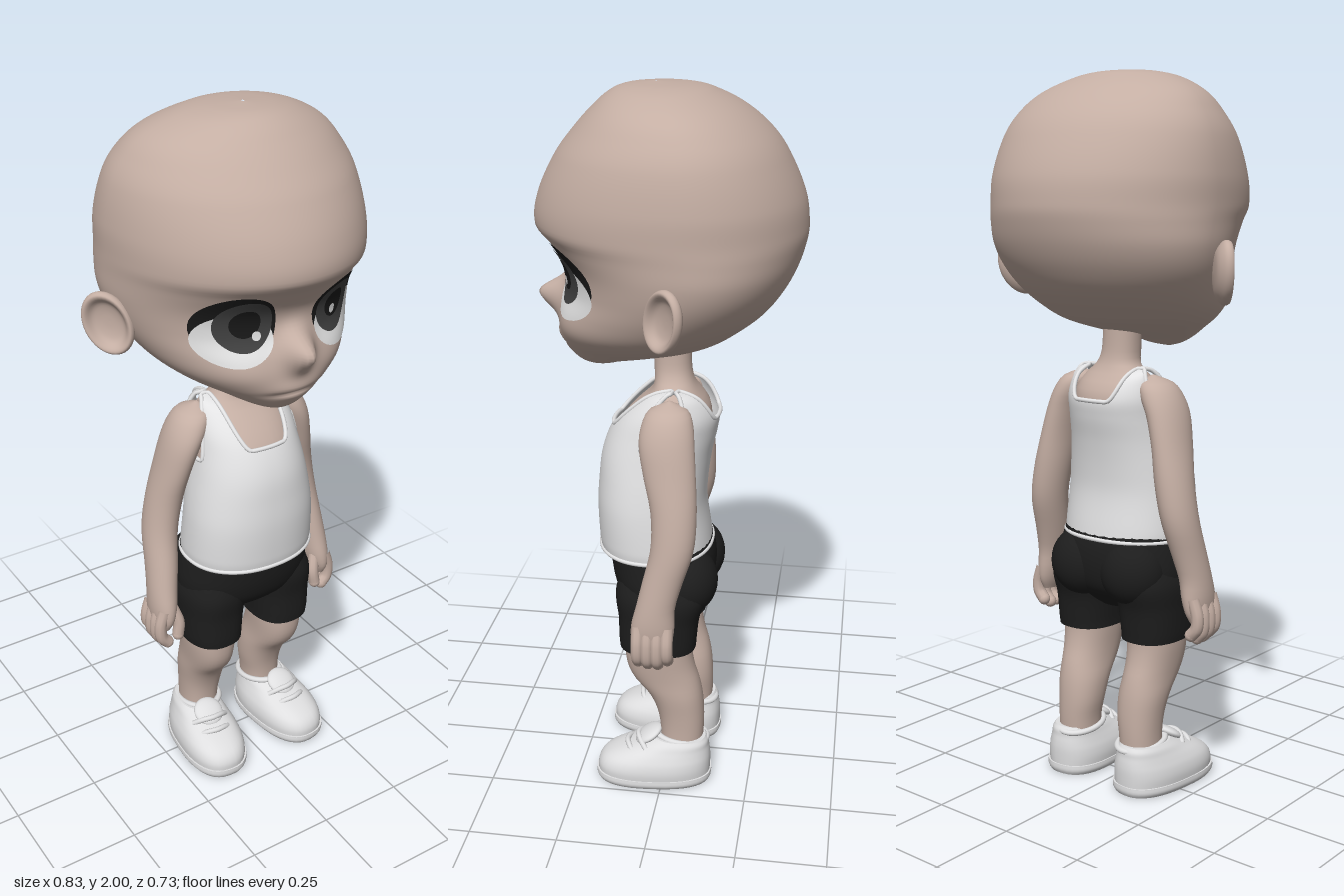
import * as THREE from 'three';

const mat = (name, color, side = THREE.FrontSide) => {
  const m = new THREE.MeshStandardMaterial({ color, side });
  m.name = name;
  return m;
};

// Smooth interpolation of key rows [y, cx, halfWidth, zFront, zBack] at height y
function sample(keys, y) {
  const last = keys.length - 1;
  let i = 0;
  while (i < last - 1 && y > keys[i + 1][0]) i++;
  const a = keys[i], b = keys[i + 1], h = b[0] - a[0];
  const t = THREE.MathUtils.clamp((y - a[0]) / h, 0, 1);
  const slope = (k, c) => {
    const p = keys[Math.max(k - 1, 0)], q = keys[Math.min(k + 1, last)];
    return (q[c] - p[c]) / (q[0] - p[0]);
  };
  return [1, 2, 3, 4].map((c) =>
    a[c] * (2 * t ** 3 - 3 * t * t + 1) + b[c] * (3 * t * t - 2 * t ** 3) +
    h * (slope(i, c) * (t ** 3 - 2 * t * t + t) + slope(i + 1, c) * (t ** 3 - t * t)));
}

// Point on a superelliptic ring; angle 0 faces +z, quarter turn faces +x
function ringPoint(keys, a, y, n = 2.2, back = 0.5) {
  const [cx, w, zf, zb] = sample(keys, y);
  const zc = zf * (1 - back) + zb * back;
  const s = Math.sin(a), c = Math.cos(a), e = 2 / n;
  return [cx + Math.max(w, 0) * Math.sign(s) * Math.abs(s) ** e, y,
    zc + (c > 0 ? zf - zc : zc - zb) * Math.sign(c) * Math.abs(c) ** e];
}

// Stack of rings from bottom to top, with optional flat caps, top edge rule and displacement
function loft(keys, { n = 2.2, back = 0.5, seg = 40, rows = 36, top = null, disp = null, caps = true } = {}) {
  const pos = [], idx = [], y0 = keys[0][0], y1 = keys[keys.length - 1][0];
  for (let j = 0; j <= rows; j++) {
    const t = (1 - Math.cos((Math.PI * j) / rows)) / 2;
    for (let i = 0; i < seg; i++) {
      const a = (i / seg) * Math.PI * 2;
      const p = ringPoint(keys, a, y0 + t * ((top ? top(a) : y1) - y0), n, back);
      if (disp && Math.cos(a) > 0) p[2] += disp(p[0], p[1]);
      pos.push(...p);
      if (j < rows) {
        const A = j * seg + i, B = j * seg + ((i + 1) % seg);
        idx.push(A, B, A + seg, B, B + seg, A + seg);
      }
    }
  }
  if (caps) for (const j of [0, rows]) {
    const base = pos.length / 3;
    let cx = 0, cz = 0;
    for (let i = 0; i < seg; i++) {
      const o = (j * seg + i) * 3;
      cx += pos[o] / seg; cz += pos[o + 2] / seg;
      pos.push(pos[o], pos[o + 1], pos[o + 2]);
    }
    pos.push(cx, j ? y1 : y0, cz);
    for (let i = 0; i < seg; i++) {
      const A = base + i, B = base + ((i + 1) % seg);
      j ? idx.push(A, B, base + seg) : idx.push(B, A, base + seg);
    }
  }
  return geometry(pos, idx);
}

function geometry(pos, idx) {
  const g = new THREE.BufferGeometry();
  g.setAttribute('position', new THREE.Float32BufferAttribute(pos, 3));
  g.setIndex(idx);
  g.computeVertexNormals();
  return g;
}

const tube = (pts, r, closed = false, steps = 24) => new THREE.TubeGeometry(
  new THREE.CatmullRomCurve3(pts.map((p) => new THREE.Vector3(...p)), closed), steps, r, 10, closed);

// Head profile and face relief
const HEAD = [
  [1.24, 0, 0.004, 0.21, 0.2], [1.25, 0, 0.045, 0.24, 0.15], [1.27, 0, 0.09, 0.266, 0.09],
  [1.3, 0, 0.15, 0.288, -0.04], [1.33, 0, 0.207, 0.298, -0.14], [1.37, 0, 0.257, 0.3, -0.205],
  [1.42, 0, 0.295, 0.292, -0.265], [1.48, 0, 0.325, 0.275, -0.31], [1.54, 0, 0.341, 0.283, -0.34],
  [1.6, 0, 0.344, 0.325, -0.358], [1.64, 0, 0.345, 0.36, -0.363], [1.72, 0, 0.344, 0.35, -0.352],
  [1.82, 0, 0.325, 0.302, -0.308], [1.88, 0, 0.295, 0.257, -0.265], [1.935, 0, 0.245, 0.207, -0.2],
  [1.975, 0, 0.165, 0.16, -0.125], [1.993, 0, 0.09, 0.115, -0.065], [2, 0, 0.004, 0.045, 0.035]];
const bump = (d, s) => Math.exp(-((d / s) ** 2) / 2);
const relief = (x, y) =>
  0.078 * bump(x, 0.028) * bump(y - 1.44, y > 1.44 ? 0.03 : 0.036) +
  0.012 * bump(Math.abs(x) - 0.16, 0.06) * bump(y - 1.38, 0.04) +
  0.01 * bump(x, 0.05) * bump(y - 1.33, 0.018) -
  0.014 * bump(y - 1.315, 0.006) * bump(x, 0.045);
function faceZ(x, y) {
  const [, w, zf, zb] = sample(HEAD, y), zc = zf * 0.43 + zb * 0.57;
  return zc + (zf - zc) * Math.sqrt(Math.max(0, 1 - (x / w) ** 2)) + relief(x, y);
}

// Thin elliptical plate draped on the face
function facePatch(cx, cy, rx, ry, lift) {
  const pos = [], idx = [], rings = 10, seg = 40;
  for (let r = 0; r <= rings; r++) for (let i = 0; i < seg; i++) {
    const a = (i / seg) * Math.PI * 2, k = r / rings;
    const x = cx + Math.cos(a) * rx * k, y = cy + Math.sin(a) * ry * k;
    pos.push(x, y, faceZ(x, y) + lift);
    if (r < rings) {
      const A = r * seg + i, B = r * seg + ((i + 1) % seg);
      idx.push(A, A + seg, B, B, A + seg, B + seg);
    }
  }
  return geometry(pos, idx);
}

export function createModel() {
  const skin = mat('skin', 0xc4aea3), cloth = mat('shirtWhite', 0xe2e2e3, THREE.DoubleSide);
  const black = mat('shortsBlack', 0x1d1d1d), shoeWhite = mat('shoeWhite', 0xdededf);
  const eyeWhite = mat('eyeWhite', 0xe8e8e8), lash = mat('lashBlack', 0x1a1a1a);
  const iris = mat('irisGrey', 0x424242);
  const root = new THREE.Group(), head = new THREE.Group(), body = new THREE.Group();
  head.name = 'headGroup'; body.name = 'bodyGroup'; body.position.x = 0.013;
  root.add(head, body);
  const add = (parent, name, g, m) => {
    const mesh = new THREE.Mesh(g, m);
    mesh.name = name;
    parent.add(mesh);
    return mesh;
  };

  // Head, ears and eyes
  add(head, 'head', loft(HEAD, { n: 2, back: 0.57, seg: 160, rows: 120, disp: relief, caps: false }), skin);
  const earProfile = [[0, -0.6], [0.6, -0.5], [0.93, -0.15], [1, 0.15], [0.93, 0.4], [0.8, 0.35], [0.6, 0], [0.3, -0.15], [0, -0.18]];
  for (const s of [1, -1]) {
    const ear = new THREE.LatheGeometry(new THREE.SplineCurve(earProfile.map((p) => new THREE.Vector2(...p))).getPoints(28)
      .map((p) => new THREE.Vector2(Math.max(p.x, 0), p.y)), 36);
    ear.scale(0.066, 0.045, 0.088).rotateX(Math.PI / 2).rotateZ(-s * 0.4).rotateY(s * 0.8).translate(s * 0.355, 1.47, -0.035);
    add(head, 'ear', ear, skin);
    add(head, 'eyelash', facePatch(s * 0.15, 1.513, 0.095, 0.092, 0.003), lash);
    add(head, 'eyeWhite', facePatch(s * 0.152, 1.477, 0.09, 0.071, 0.005), eyeWhite);
    add(head, 'iris', facePatch(s * 0.135, 1.517, 0.068, 0.073, 0.007), iris);
    add(head, 'pupil', facePatch(s * 0.133, 1.522, 0.036, 0.04, 0.0085), lash);
    add(head, 'eyeHighlight', facePatch(s > 0 ? 0.128 : -0.105, s > 0 ? 1.505 : 1.487, 0.011, 0.013, 0.0098), eyeWhite);
  }

  // Torso and neck
  add(body, 'torso', loft([
    [0.8, 0, 0.165, 0.17, -0.08], [1, 0, 0.148, 0.17, -0.1], [1.08, 0, 0.138, 0.143, -0.115],
    [1.14, 0, 0.125, 0.093, -0.108], [1.18, 0, 0.096, 0.05, -0.08], [1.205, 0, 0.066, 0.043, -0.066],
    [1.24, -0.006, 0.055, 0.045, -0.058], [1.34, -0.01, 0.054, 0.045, -0.055]]), skin);

  // Tank top: the upper edge dips at neck and armholes and rises into straps
  const SHIRT = [
    [0.72, 0, 0.19, 0.196, -0.12], [0.75, 0, 0.192, 0.2, -0.116], [0.85, 0, 0.187, 0.204, -0.103],
    [0.92, 0, 0.178, 0.2, -0.106], [1, 0, 0.164, 0.19, -0.117], [1.07, 0, 0.153, 0.165, -0.132],
    [1.12, 0, 0.148, 0.133, -0.136], [1.17, 0, 0.135, 0.08, -0.112], [1.19, 0, 0.126, 0.04, -0.08],
    [1.2, 0, 0.118, -0.015, -0.035]];
  const edge = (angle) => {
    const a = Math.acos(Math.cos(angle)) * THREE.MathUtils.RAD2DEG;
    const f = a > 90 ? 180 - a : a, low = f > 58 ? 1.04 : a > 90 ? 1.115 : 1.085;
    const ss = THREE.MathUtils.smoothstep;
    return low + (1.2 - low) * ss(f, 18, 46) * (1 - ss(f, 66, 80));
  };
  add(body, 'tankTop', loft(SHIRT, { seg: 144, rows: 44, top: edge, caps: false }), cloth);
  const rim = (name, yAt) => add(body, name, tube(Array.from({ length: 96 }, (_, i) => {
    const a = (i / 96) * Math.PI * 2;
    return ringPoint(SHIRT, a, yAt(a));
  }), 0.006, true, 192), cloth);
  rim('tankTopEdge', edge);
  rim('tankTopHem', () => 0.722);

  // Shorts seat
  add(body, 'shortsSeat', loft([
    [0.515, 0, 0.06, 0.06, -0.05], [0.54, 0, 0.13, 0.1, -0.08], [0.58, 0, 0.19, 0.138, -0.115],
    [0.63, 0, 0.203, 0.158, -0.13], [0.69, 0, 0.197, 0.168, -0.13], [0.745, 0, 0.184, 0.172, -0.115]]), black);

  for (const s of [1, -1]) {
    const side = (rows) => rows.map(([y, cx, ...r]) => [y, s * cx, ...r]);

    // Shorts leg and buttock
    add(body, 'shortsLeg', loft(side([
      [0.435, 0.116, 0.085, 0.128, -0.09], [0.46, 0.117, 0.087, 0.13, -0.092], [0.53, 0.115, 0.092, 0.132, -0.1],
      [0.6, 0.11, 0.098, 0.14, -0.12], [0.66, 0.095, 0.09, 0.13, -0.11]]), { n: 2.4 }), black);
    add(body, 'buttock', new THREE.SphereGeometry(1, 32, 20).scale(0.098, 0.1, 0.09).translate(s * 0.09, 0.635, -0.058), black);

    // Leg with knee and calf
    add(body, 'leg', loft(side([
      [0.08, 0.115, 0.056, 0.012, -0.11], [0.16, 0.113, 0.057, 0.012, -0.115], [0.22, 0.11, 0.063, 0.022, -0.115],
      [0.28, 0.112, 0.067, 0.048, -0.11], [0.33, 0.115, 0.066, 0.09, -0.1], [0.37, 0.117, 0.068, 0.108, -0.088],
      [0.42, 0.118, 0.072, 0.114, -0.08], [0.5, 0.118, 0.075, 0.115, -0.08]])), skin);

    // Arm and palm
    add(body, 'arm', loft(side([
      [0.51, 0.272, 0.018, 0.055, -0.03], [0.54, 0.27, 0.03, 0.07, -0.045], [0.58, 0.266, 0.038, 0.07, -0.05],
      [0.63, 0.261, 0.041, 0.058, -0.05], [0.7, 0.251, 0.045, 0.042, -0.068], [0.8, 0.238, 0.049, 0.02, -0.098],
      [0.9, 0.22, 0.05, 0.022, -0.103], [1, 0.2, 0.047, 0.045, -0.097], [1.08, 0.178, 0.05, 0.06, -0.09],
      [1.13, 0.155, 0.053, 0.055, -0.083], [1.165, 0.137, 0.042, 0.035, -0.065], [1.185, 0.125, 0.004, -0.012, -0.018]]),
    { n: 2 }), skin);

    // Curled fingers and thumb
    const digit = (name, pts, r) => {
      add(body, name, tube(pts.map(([x, y, z]) => [s * x, y, z]), r), skin);
      const [x, y, z] = pts[pts.length - 1];
      add(body, name + 'Tip', new THREE.SphereGeometry(r, 14, 10).translate(s * x, y, z), skin);
    };
    for (let f = 0; f < 4; f++) {
      const z = 0.05 - f * 0.027, d = f === 3 ? 0.014 : f === 0 ? 0.006 : 0;
      digit('finger', [[0.279, 0.58, z], [0.294, 0.53, z], [0.291, 0.485 + d, z], [0.273, 0.463 + d, z]], 0.018);
    }
    digit('thumb', [[0.25, 0.58, 0.04], [0.237, 0.53, 0.055], [0.242, 0.488, 0.058]], 0.017);

    // Shoe with sole, collar, tongue and laces
    const shoe = new THREE.Group();
    shoe.name = 'shoe';
    shoe.position.x = s * 0.13;
    shoe.rotation.y = s * 0.1;
    body.add(shoe);
    add(shoe, 'shoeSole', loft([[0, 0, 0.088, 0.194, -0.134], [0.012, 0, 0.096, 0.2, -0.14], [0.028, 0, 0.096, 0.2, -0.14]], { n: 2.5, rows: 8 }), shoeWhite);
    add(shoe, 'shoeUpper', loft([
      [0.02, 0, 0.092, 0.196, -0.136], [0.05, 0, 0.094, 0.194, -0.137], [0.075, 0, 0.09, 0.178, -0.137],
      [0.095, 0, 0.082, 0.145, -0.135], [0.112, 0, 0.074, 0.1, -0.132], [0.128, 0, 0.067, 0.06, -0.13], [0.14, 0, 0.058, 0.03, -0.122]], { n: 2.4 }), shoeWhite);
    add(shoe, 'shoeCollar', new THREE.TorusGeometry(1, 0.14, 12, 36).scale(0.06, 0.075, 0.06)
      .rotateX(Math.PI / 2 - 0.12).translate(-s * 0.012, 0.135, -0.05), shoeWhite);
    add(shoe, 'shoeTongue', new THREE.SphereGeometry(1, 24, 16).scale(0.045, 0.016, 0.045).rotateX(0.55).translate(0, 0.138, 0.045), shoeWhite);
    for (const [y, z] of [[0.112, 0.108], [0.135, 0.076]])
      add(shoe, 'shoeLace', tube([[-0.055, y - 0.02, z - 0.025], [-0.03, y - 0.003, z - 0.008], [0, y + 0.002, z], [0.03, y - 0.003, z - 0.008], [0.055, y - 0.02, z - 0.025]], 0.008), shoeWhite);
  }
  return root;
}
